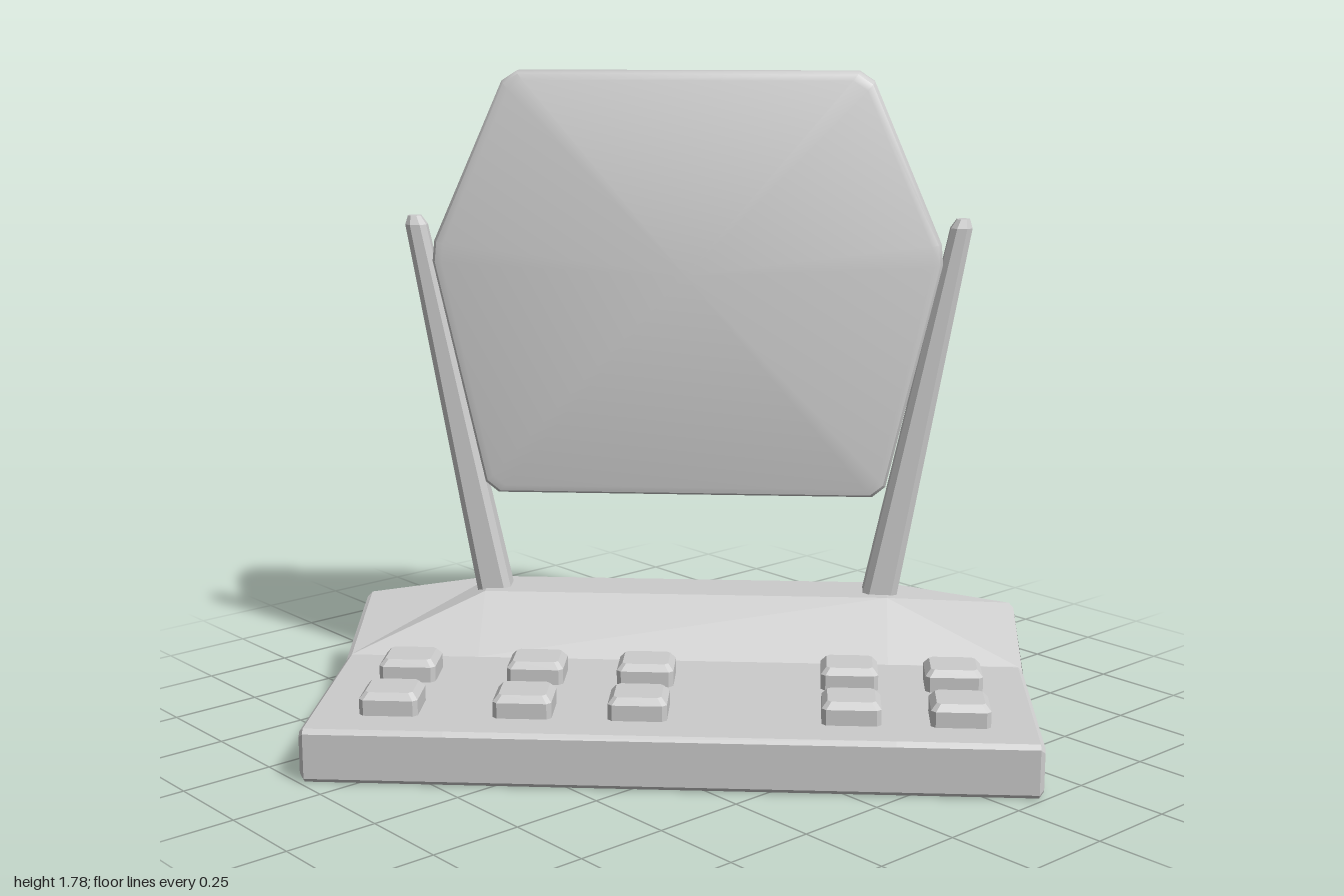
import * as THREE from 'three';
import { toCreasedNormals } from 'three/addons/utils/BufferGeometryUtils.js';

const V = (x, y, z) => new THREE.Vector3(x, y, z);
const lerp = THREE.MathUtils.lerp;

// Skins a list of equal-length rings and closes both ends; dome pushes the end centres outward.
function loft(rings, crease, dome = 0) {
  const n = rings[0].length;
  const pts = rings.flat();
  const tris = [];
  for (let r = 0; r < rings.length - 1; r++) {
    for (let i = 0; i < n; i++) {
      const a = r * n + i, b = r * n + (i + 1) % n;
      tris.push([a, b, b + n], [a, b + n, a + n]);
    }
  }
  const centres = [rings[0], rings[rings.length - 1]].map((ring) =>
    ring.reduce((s, p) => s.add(p), V(0, 0, 0)).divideScalar(n));
  const axis = centres[1].clone().sub(centres[0]).normalize().multiplyScalar(dome);
  pts.push(centres[0].sub(axis), centres[1].add(axis));
  const c0 = pts.length - 2, c1 = pts.length - 1, last = (rings.length - 1) * n;
  for (let i = 0; i < n; i++) {
    const j = (i + 1) % n;
    tris.push([c0, j, i], [c1, last + i, last + j]);
  }
  // Turn the faces outward, using the signed volume
  let volume = 0;
  for (const [a, b, c] of tris) volume += pts[a].dot(pts[b].clone().cross(pts[c]));
  const index = tris.flatMap(([a, b, c]) => (volume > 0 ? [a, b, c] : [a, c, b]));
  const geo = new THREE.BufferGeometry().setFromPoints(pts);
  geo.setIndex(index);
  return toCreasedNormals(geo, crease);
}

// Replaces each corner of a 2D outline by a small chamfer.
function chamfer(corners, size) {
  return corners.flatMap((p, i) => {
    const prev = corners[(i + corners.length - 1) % corners.length];
    const next = corners[(i + 1) % corners.length];
    return [prev, next].map((q) => p.clone().add(q.clone().sub(p).setLength(size)));
  });
}
const P = (x, y) => new THREE.Vector2(x, y);

// Level ring shaped like a rectangle with cut corners
function rectRing(cx, y, cz, w, d, cut) {
  const c = [P(-w / 2, -d / 2), P(w / 2, -d / 2), P(w / 2, d / 2), P(-w / 2, d / 2)];
  return chamfer(c, cut).map((p) => V(cx + p.x, y, cz + p.y));
}

export function createModel() {
  const group = new THREE.Group();
  const body = new THREE.Group();
  body.rotation.y = -Math.PI / 4;
  group.add(body);
  const material = new THREE.MeshStandardMaterial({ color: 0xcccccc });
  const add = (name, geometry) => {
    const mesh = new THREE.Mesh(geometry, material);
    mesh.name = name;
    body.add(mesh);
  };

  // Base: cross-sections along its length, with a raised ridge at the back
  const c = 0.012, depth = 0.46;
  const section = (x, ridgeZ, ridgeY, backY, inset) => [
    [depth - c, 0], [depth, c], [depth, 0.145 - c], [depth - c, 0.145],
    [-0.15, 0.145], [ridgeZ, ridgeY], [-depth + c / 2, backY],
    [-depth, backY - c], [-depth, c], [-depth + c, 0],
  ].map(([z, y]) => V(x, y + (y < 0.05 ? inset : -inset), z * (1 - inset / depth)));
  add('base', loft([
    section(-0.955, -0.152, 0.146, 0.24, c),
    section(-0.943, -0.152, 0.146, 0.24, 0),
    section(-0.58, -0.3, 0.295, 0.295, 0),
    section(0.58, -0.3, 0.295, 0.295, 0),
    section(0.943, -0.152, 0.146, 0.24, 0),
    section(0.955, -0.152, 0.146, 0.24, c),
  ], 0.15));

  // Keys: two rows of five, with a wider gap
  for (const x of [-0.742, -0.39, -0.088, 0.468, 0.75]) {
    for (const z of [0.005, 0.275]) {
      add('key', loft([
        rectRing(x, 0.13, z, 0.155, 0.14, 0.012),
        rectRing(x, 0.187, z, 0.155, 0.14, 0.012),
        rectRing(x, 0.205, z, 0.125, 0.11, 0.01),
      ], 0.15));
    }
  }

  // Support arms: tapered square posts leaning outward
  for (const s of [-1, 1]) {
    add(s > 0 ? 'leftArm' : 'rightArm', loft([
      rectRing(s * 0.552, 0.25, -0.378, 0.1, 0.1, 0.018),
      rectRing(s * 0.769, 1.35, -0.388, 0.06, 0.06, 0.016),
      rectRing(s * 0.774, 1.375, -0.388, 0.036, 0.036, 0.01),
    ], 0.25));
  }

  // Screen: six-sided panel, tilted back and thicker toward the top, with soft edges
  const midY = 1.19;
  const outline = chamfer([
    P(-0.56, 0.6), P(0.56, 0.6), P(0.725, 1.28), P(0.51, 1.78), P(-0.51, 1.78), P(-0.725, 1.28),
  ], 0.03);
  const screenRing = (scale, t) => outline.map((p) => {
    const y = midY + (p.y - midY) * scale;
    const h = (y - 0.6) / 1.18;
    return V(p.x * scale, y, lerp(lerp(-0.335, -0.5, h), lerp(-0.25, -0.38, h), t));
  });
  add('screen', loft([
    screenRing(0.96, 0), screenRing(0.988, 0.07), screenRing(1, 0.22),
    screenRing(1, 0.78), screenRing(0.988, 0.93), screenRing(0.96, 1),
  ], 0.7, 0.01));

  return group;
}
